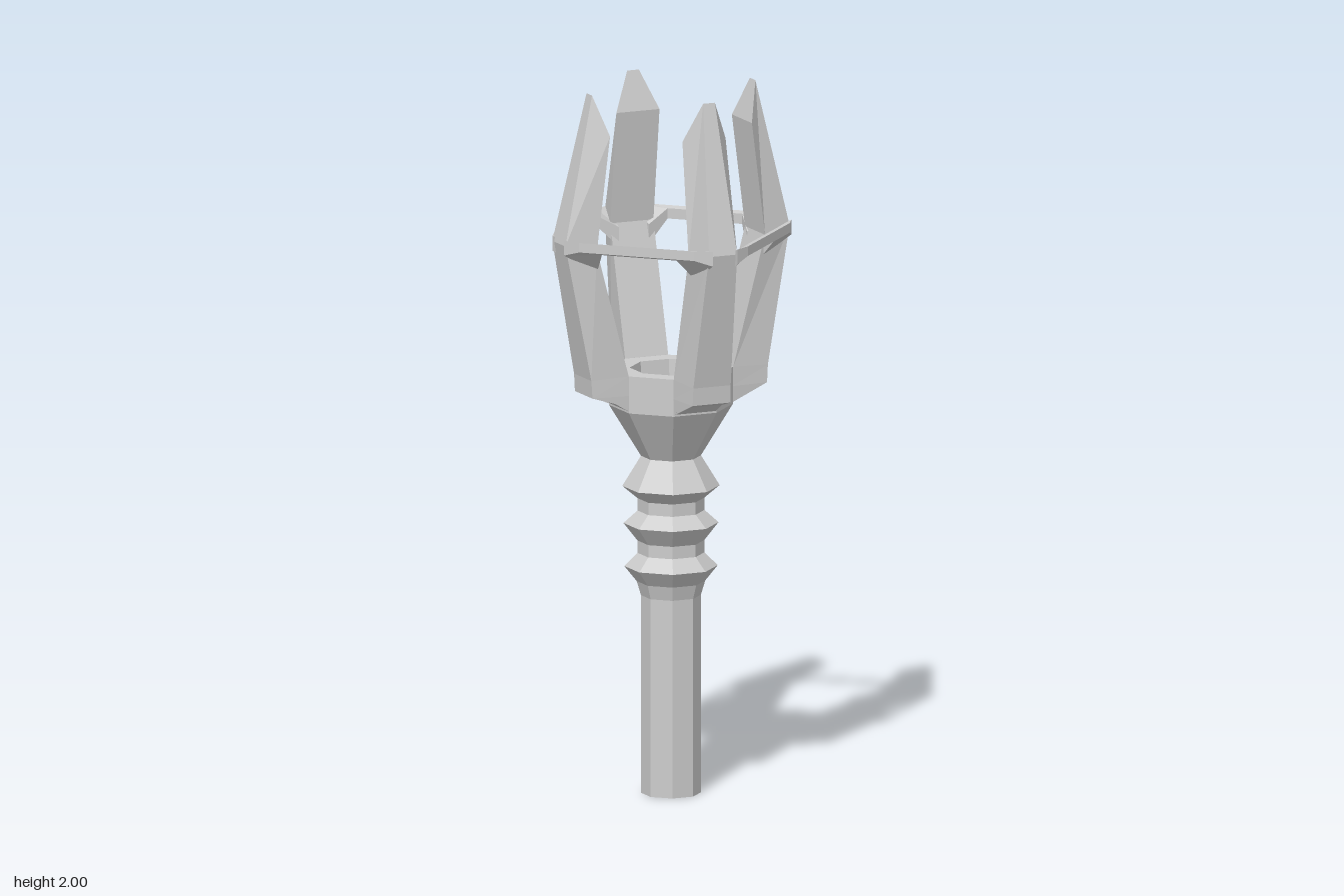
import * as THREE from 'three';

const material = new THREE.MeshStandardMaterial({ color: 0xcccccc, flatShading: true });

// Skins a row of four-cornered cross-sections and caps both ends.
// Corners run counter-clockwise when seen from the end of the row.
function loft(sections) {
  const index = [];
  const quad = (a, b, c, d) => index.push(a, b, c, a, c, d);
  for (let i = 0; i < sections.length - 1; i++) {
    for (let j = 0; j < 4; j++) {
      const k = (j + 1) % 4;
      quad(i * 4 + j, i * 4 + k, i * 4 + 4 + k, i * 4 + 4 + j);
    }
  }
  const e = (sections.length - 1) * 4;
  quad(3, 2, 1, 0);
  quad(e, e + 1, e + 2, e + 3);
  const indexed = new THREE.BufferGeometry();
  indexed.setAttribute('position', new THREE.Float32BufferAttribute(sections.flat(2), 3));
  indexed.setIndex(index);
  const geometry = indexed.toNonIndexed();
  geometry.computeVertexNormals();
  return geometry;
}

// Octagonal solid of revolution; radii are given to the flats
function octagon(profile) {
  const k = 1 / Math.cos(Math.PI / 8);
  const points = profile.map(([r, y]) => new THREE.Vector2(r * k, y));
  return new THREE.LatheGeometry(points, 8, Math.PI / 8);
}

function part(name, geometry) {
  const mesh = new THREE.Mesh(geometry, material);
  mesh.name = name;
  return mesh;
}

export function createModel() {
  const model = new THREE.Group();
  model.name = 'torch';
  const body = new THREE.Group();
  body.name = 'body';
  body.position.set(-0.005, 0, -0.005);
  model.add(body);

  // Shaft with closed foot
  body.add(part('shaft', octagon([[0, 0], [0.077, 0], [0.077, 0.56]])));

  // Three ridges of the collar
  body.add(part('collar', octagon([
    [0.077, 0.56], [0.088, 0.6], [0.12, 0.643], [0.086, 0.68], [0.086, 0.715],
    [0.122, 0.765], [0.086, 0.8], [0.086, 0.835], [0.125, 0.87], [0.077, 0.955],
  ])));

  // Flared bowl with a hollow top
  body.add(part('bowl', octagon([
    [0.077, 0.955], [0.159, 1.1], [0.159, 1.205], [0.106, 1.205], [0.1, 1.13], [0, 1.13],
  ])));

  // Prongs: inner radius, height, half width; outer radius, height, half width
  const prongGeometry = loft([
    [0.15, 1.1, 0.064, 0.2, 1.13, 0.062],
    [0.155, 1.15, 0.066, 0.267, 1.15, 0.058],
    [0.16, 1.205, 0.066, 0.27, 1.2, 0.057],
    [0.257, 1.57, 0.066, 0.343, 1.585, 0.043],
    [0.217, 1.89, 0.066, 0.25, 2.0, 0.018],
  ].map(([ri, yi, wi, ro, yo, wo]) => [
    [-wi, yi, ri], [-wo, yo, ro], [wo, yo, ro], [wi, yi, ri],
  ]));

  // Ring bars: inner x and z, outer x and z, then inner and outer heights
  const barSection = ([xi, zi, xo, zo, topI, topO, lowO, lowI]) => [
    [xi, topI, zi], [xo, topO, zo], [xo, lowO, zo], [xi, lowI, zi],
  ];
  const half = [
    [0.11, 0.266, 0.17, 0.286, 1.597, 1.602, 1.575, 1.568],
    [0.145, 0.21, 0.22, 0.273, 1.56, 1.602, 1.56, 1.505],
  ];
  const mirrored = half.map(([xi, zi, xo, ...rest]) => [-xi, zi, -xo, ...rest]).reverse();
  const barGeometry = loft([...mirrored, ...half].map(barSection));

  for (let i = 0; i < 4; i++) {
    const prong = part('prong', prongGeometry);
    prong.rotation.y = Math.PI / 4 + i * Math.PI / 2;
    body.add(prong);

    const bar = part('ringBar', barGeometry);
    bar.rotation.y = i * Math.PI / 2;
    model.add(bar);
  }
  return model;
}
